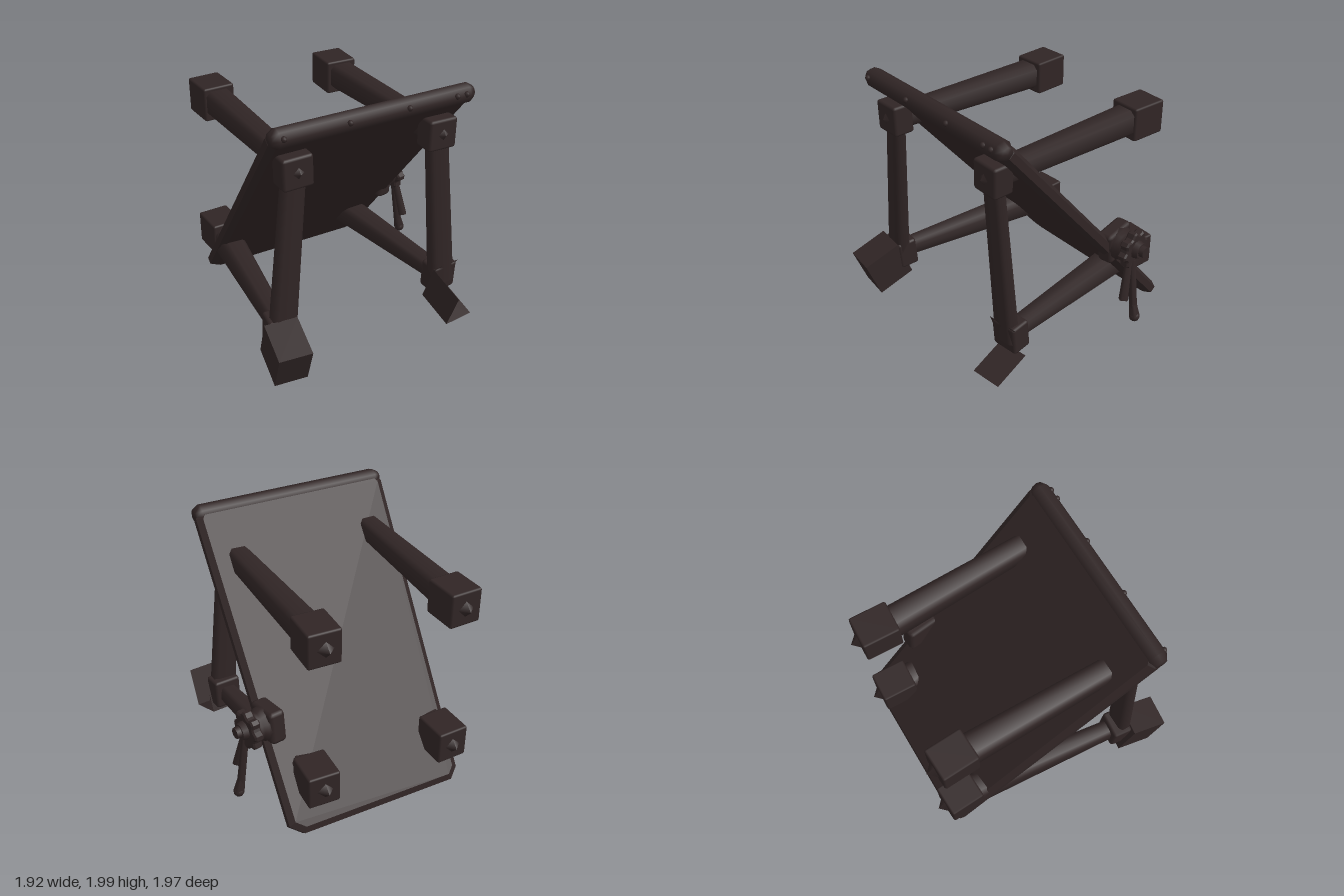
import * as THREE from 'three';
import { RoundedBoxGeometry } from 'three/addons/geometries/RoundedBoxGeometry.js';

const V = (x, y, z) => new THREE.Vector3(x, y, z);

export function createModel() {
  const model = new THREE.Group();
  const darkWood = new THREE.MeshStandardMaterial({ color: 0x302525 });
  darkWood.name = 'darkWood';

  function add(name, geo, pos, rot = [0, 0, 0], parent = model) {
    const m = new THREE.Mesh(geo, darkWood);
    m.name = name;
    m.position.set(...pos);
    m.rotation.set(...rot);
    parent.add(m);
    return m;
  }
  const block = (w, h, d, r = 0.02) => new RoundedBoxGeometry(w, h, d, 1, r);

  // Tapered bar from a to b with a rounded-square section, optionally flattened in depth
  function bar(name, a, b, ra, rb, depth = 1) {
    const dir = b.clone().sub(a);
    const geo = new THREE.CylinderGeometry(rb, ra, dir.length(), 8);
    geo.rotateY(Math.PI / 8);
    const p = geo.attributes.position;
    for (let i = 0; i < p.count; i++) {
      const x = p.getX(i), z = p.getZ(i), r = Math.hypot(x, z);
      p.setX(i, Math.sign(x) * Math.sqrt(Math.abs(x) * r));
      p.setZ(i, Math.sign(z) * Math.sqrt(Math.abs(z) * r));
    }
    geo.scale(1.02, 1, 1.02 * depth);
    const m = add(name, geo, a.clone().add(b).multiplyScalar(0.5).toArray());
    m.quaternion.setFromUnitVectors(V(0, 1, 0), dir.normalize());
    return m;
  }

  // Sloping board with chamfered corners and bevelled edges
  const board = new THREE.Group();
  board.name = 'board';
  board.position.set(0, 0.008, -0.888);
  board.rotation.x = 0.694;
  model.add(board);
  const bev = 0.045, len = 2.51;
  const outline = new THREE.Shape([
    [-0.65, 0], [0.62, 0], [0.72, 0.08], [0.72, len - 0.08], [0.66, len],
    [-0.8, len], [-0.855, len - 0.08], [-0.725, 0.08],
  ].map(([x, y]) => new THREE.Vector2(x, y)));
  const boardGeo = new THREE.ExtrudeGeometry(outline, {
    depth: 0.055, bevelSize: bev, bevelOffset: -bev, bevelThickness: 0.028, bevelSegments: 1,
  });
  boardGeo.translate(0, 0, -0.022);
  add('boardPanel', boardGeo, [0, 0, 0], [0, 0, 0], board);

  // Thick rail along the upper end, with rivets
  const railGeo = new THREE.LatheGeometry(
    [[0, -0.79], [0.045, -0.785], [0.075, -0.735], [0.075, 0.735], [0.045, 0.785], [0, 0.79]]
      .map(([x, y]) => new THREE.Vector2(x, y)), 8);
  add('topRail', railGeo, [-0.067, len - 0.04, 0.014], [0, 0, -Math.PI / 2], board);
  for (const x of [-0.78, -0.3, 0.16, 0.55, 0.63]) {
    add('rivet', new THREE.SphereGeometry(0.022, 8, 6), [x, 1.915, 0.768]);
  }

  // Left and right sides of the frame
  const sides = [
    { s: -1, rear: -0.62, head: -0.655, top: -0.635, post: -0.77, foot: -0.812 },
    { s: 1, rear: 0.46, head: 0.49, top: 0.485, post: 0.615, foot: 0.632 },
  ];
  for (const { s, rear, head, top, post, foot } of sides) {
    // Upright post and its head block
    bar('frontPost', V(post, 0.3, 0.635), V(head, 1.58, 0.64), 0.1, 0.083, 0.55);
    add('postHead', block(0.23, 0.235, 0.165), [head, 1.618, 0.64], [0, 0, -s * 0.02]);
    add('headStud', new THREE.ConeGeometry(0.045, 0.03, 4), [head, 1.62, 0.735], [Math.PI / 2, 0, 0]);

    // Upper and lower beams with capped, pointed ends
    bar('upperBeam', V(top, 1.615, 0.62), V(rear, 1.59, -0.7), 0.08, 0.104);
    bar('lowerBeam', V(post, 0.345, 0.6), V(rear, 0.36, -0.7), 0.066, 0.108);
    for (const y of [1.585, 0.38]) {
      add('beamCap', block(0.25, 0.265, 0.285, 0.015), [rear, y, -0.775], [0, -s * 0.04, 0]);
      add('capPoint', new THREE.ConeGeometry(0.066, 0.065, 4), [rear, y, -0.945], [-Math.PI / 2, 0, 0]);
    }

    // Collar and tilted foot block; the right foot is an open shell
    add('footCollar', block(0.22, 0.235, 0.16), [post, 0.345, 0.6], [0.08, s * 0.1, 0]);
    const shells = s < 0 ? [['foot', [0, 1, 2, 3, 4, 5], []]]
      : [['footOutside', [1, 3, 5], []], ['footInside', [], [2, 3, 4]]];
    for (const [name, outward, inward] of shells) {
      const geo = new THREE.BoxGeometry(0.25, 0.315, 0.31);
      const corners = [0, 2, 1, 2, 3, 1];
      const index = outward.flatMap((f) => corners.map((c) => f * 4 + c));
      for (const f of inward) index.push(...[...corners].reverse().map((c) => f * 4 + c));
      // Upper inner half of the back wall, facing into the shell
      if (inward.length) index.push(21, 23, 20);
      geo.clearGroups();
      geo.setIndex(index);
      geo.computeVertexNormals();
      const f = add(name, geo, [foot, 0.262, 0.775]);
      f.rotation.order = 'YXZ';
      f.rotation.set(0.36, s * 0.11, 0);
    }
  }

  // Crank on the right edge of the board, axis leaning slightly back
  const crank = new THREE.Group();
  crank.name = 'crank';
  crank.position.set(0.6, 0.72, -0.39);
  crank.rotation.y = 0.15;
  model.add(crank);
  const alongX = [0, 0, -Math.PI / 2];
  add('crankBase', block(0.13, 0.26, 0.27, 0.03), [0.055, 0, 0], [0.1, 0, 0], crank);
  const hub = [[0, 0], [0.13, 0], [0.13, 0.11], [0.11, 0.135], [0.12, 0.16], [0.105, 0.2], [0, 0.2]];
  add('crankHub', new THREE.LatheGeometry(hub.map(([x, y]) => new THREE.Vector2(x, y)), 12),
    [0.02, 0, 0], alongX, crank);

  // Toothed wheel
  const wheel = new THREE.Shape();
  for (let i = 0; i < 32; i++) {
    const a = (i / 32) * Math.PI * 2, r = i % 4 < 2 ? 0.148 : 0.122;
    wheel[i ? 'lineTo' : 'moveTo'](Math.cos(a) * r, Math.sin(a) * r);
  }
  add('crankWheel', new THREE.ExtrudeGeometry(wheel, {
    depth: 0.05, bevelSize: 0.012, bevelOffset: -0.008, bevelThickness: 0.012, bevelSegments: 1,
  }), [0.2, 0, 0], [0, Math.PI / 2, 0], crank);
  add('crankAxle', new THREE.CylinderGeometry(0.062, 0.078, 0.06, 10), [0.275, 0.01, 0], alongX, crank);
  add('crankTip', new THREE.CylinderGeometry(0.042, 0.048, 0.05, 8), [0.315, 0.015, 0], alongX, crank);

  // Two hanging levers with thicker grips
  bar('longLever', V(0.845, 0.64, -0.4), V(0.9, 0.2, -0.395), 0.024, 0.027);
  bar('longLeverGrip', V(0.895, 0.25, -0.395), V(0.917, 0.15, -0.395), 0.026, 0.036);
  add('longLeverEnd', new THREE.SphereGeometry(0.042, 10, 8), [0.918, 0.145, -0.395]);
  bar('shortLever', V(0.84, 0.64, -0.37), V(0.88, 0.335, -0.295), 0.024, 0.032);

  return model;
}
